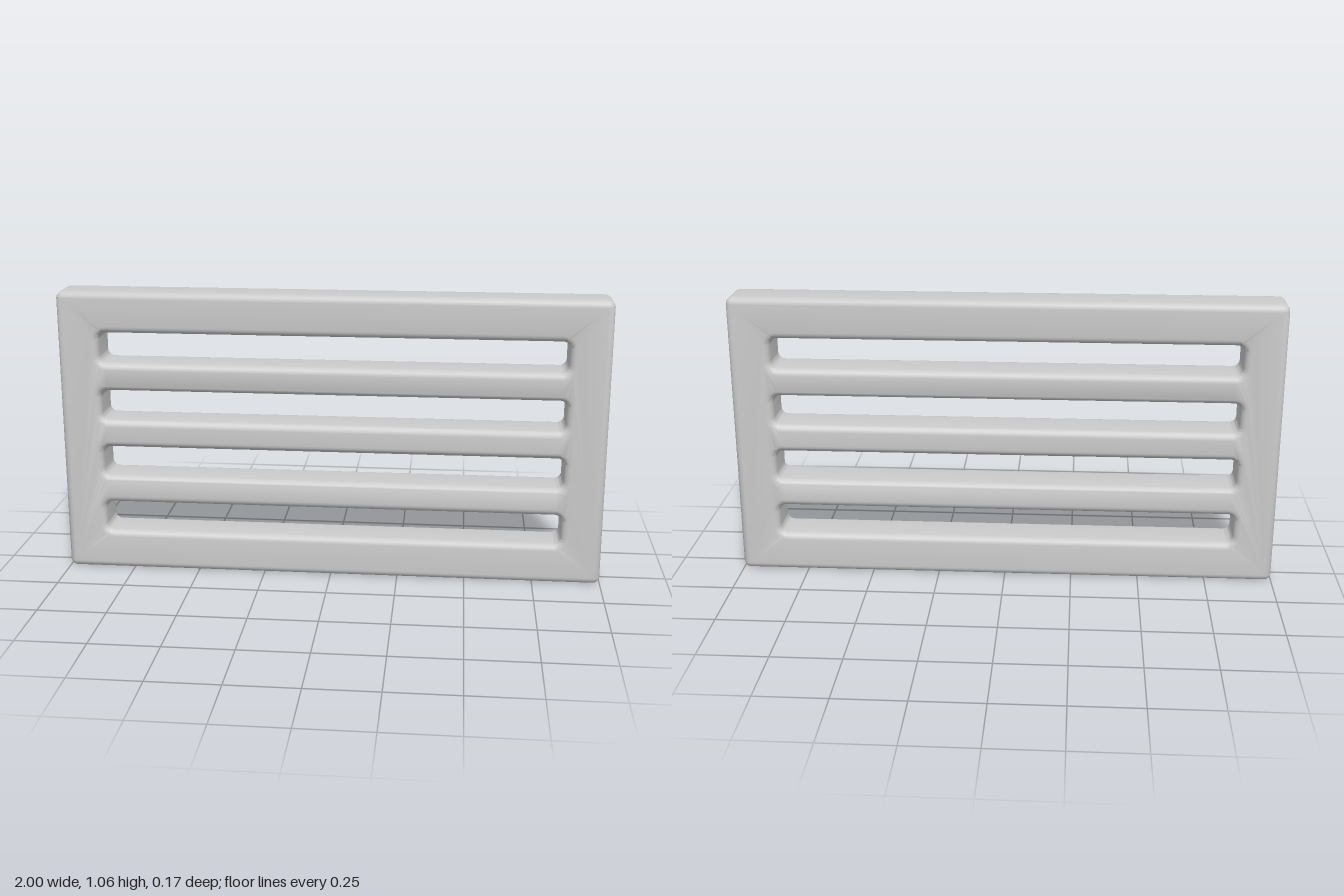
import * as THREE from 'three';
import { toCreasedNormals } from 'three/addons/utils/BufferGeometryUtils.js';

const WIDTH = 2, HEIGHT = 1.06, DEPTH = 0.165;
const RADIUS = 0.026, BEVEL = 0.025;
const SLOT_HALF_WIDTH = 0.85, SLOT_HEIGHT = 0.113, SLOT_PITCH = 0.216, SLOTS = 4;

// Traces a rounded rectangle centred on (0, cy)
function roundedRect(path, halfW, cy, h, r) {
  const b = cy - h / 2, t = cy + h / 2, q = Math.PI / 2;
  path.moveTo(-halfW + r, b);
  path.absarc(halfW - r, b + r, r, -q, 0, false);
  path.absarc(halfW - r, t - r, r, 0, q, false);
  path.absarc(-halfW + r, t - r, r, q, 2 * q, false);
  path.absarc(-halfW + r, b + r, r, 2 * q, 3 * q, false);
  return path;
}

export function createModel() {
  const group = new THREE.Group();
  group.name = 'ventGrille';

  // Frame outline with evenly spaced horizontal slots
  const outline = roundedRect(new THREE.Shape(), WIDTH / 2, HEIGHT / 2, HEIGHT, RADIUS);
  for (let i = 0; i < SLOTS; i++) {
    const cy = HEIGHT / 2 + (i - (SLOTS - 1) / 2) * SLOT_PITCH;
    outline.holes.push(roundedRect(new THREE.Path(), SLOT_HALF_WIDTH, cy, SLOT_HEIGHT, RADIUS));
  }

  // Rounded edges on the rim and on every slot
  const geometry = new THREE.ExtrudeGeometry(outline, {
    depth: DEPTH - 2 * BEVEL,
    curveSegments: 6,
    bevelEnabled: true,
    bevelThickness: BEVEL,
    bevelSize: BEVEL,
    bevelOffset: -BEVEL,
    bevelSegments: 5,
  });
  geometry.translate(0, 0, -(DEPTH - 2 * BEVEL) / 2);

  const grille = new THREE.Mesh(
    toCreasedNormals(geometry, 0.9),
    new THREE.MeshStandardMaterial({ color: 0xcccccc })
  );
  grille.name = 'slattedFrame';
  group.add(grille);
  return group;
}
